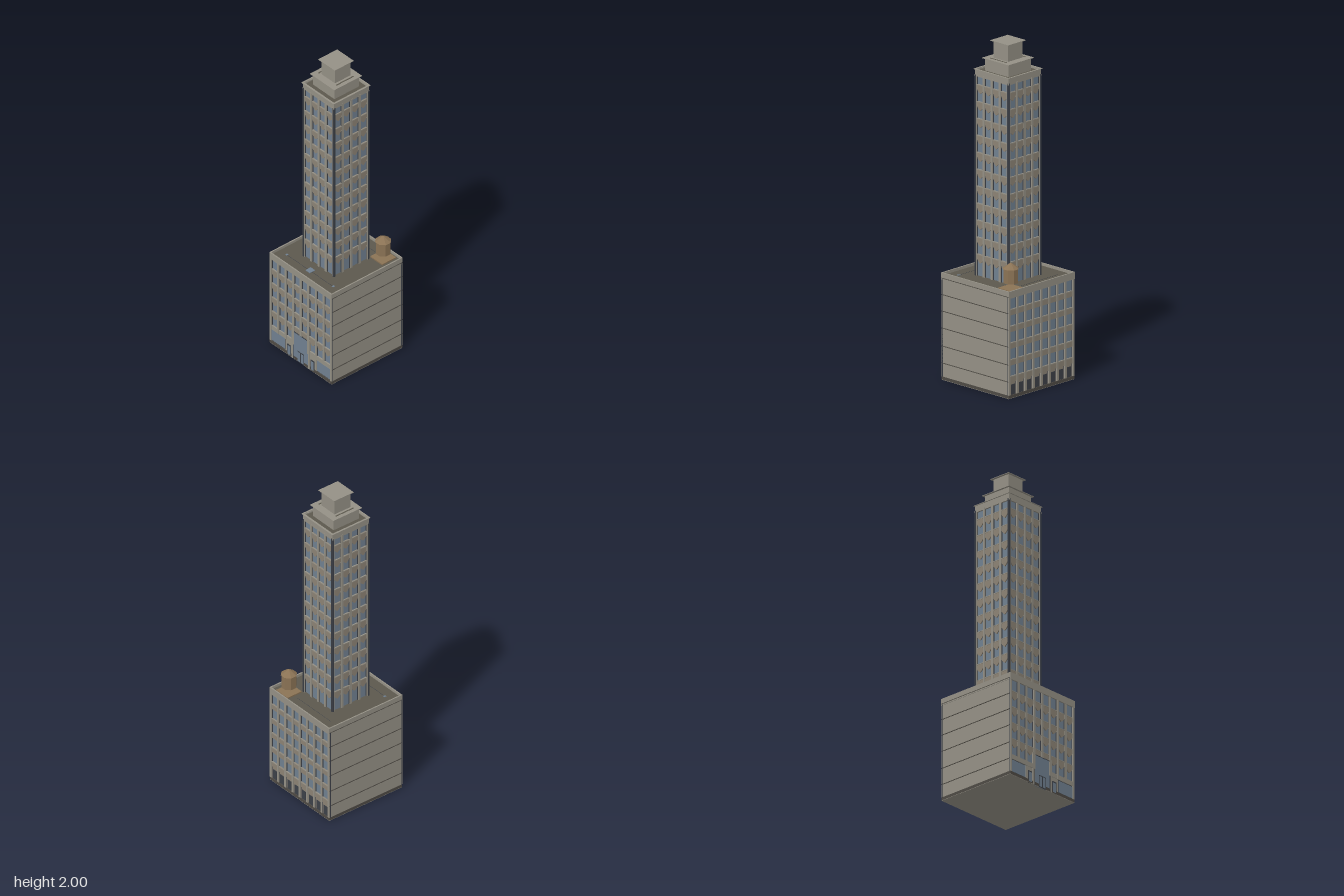
import * as THREE from 'three';

const mat = (name, color) => Object.assign(new THREE.MeshStandardMaterial({ color }), { name });
const M = {
  stone: mat('stone', 0x949085),
  trim: mat('spandrel stone', 0x8c8375),
  roof: mat('roof tar', 0x5c584d),
  dark: mat('dark metal', 0x3d4148),
  plinth: mat('plinth', 0x4e4a44),
  glass: mat('glass', 0x708090),
  wood: mat('tank wood', 0x8b7355),
};

function box(parent, name, m, w, h, d, x, y, z) {
  const b = new THREE.Mesh(new THREE.BoxGeometry(w, h, d), m);
  b.name = name;
  b.position.set(x, y, z);
  parent.add(b);
}

// box given by its bottom and top heights
const slab = (p, name, m, w, d, y0, y1, x = 0, z = 0) =>
  box(p, name, m, w, y1 - y0, d, x, (y0 + y1) / 2, z);

// four walls around a square
function ring(parent, name, m, half, t, y0, y1) {
  for (const s of [-1, 1]) {
    slab(parent, name, m, half * 2, t, y0, y1, 0, s * (half - t / 2));
    slab(parent, name, m, t, half * 2 - t * 2, y0, y1, s * (half - t / 2), 0);
  }
}

// spandrel panel whose lower edge sweeps down to a central point
function shieldGeometry(w, side, tip, depth) {
  const s = new THREE.Shape();
  s.moveTo(-w / 2, 0);
  s.lineTo(-w / 2, -side);
  s.quadraticCurveTo(-w * 0.3, -tip * 0.85, 0, -tip);
  s.quadraticCurveTo(w * 0.3, -tip * 0.85, w / 2, -side);
  s.lineTo(w / 2, 0);
  return new THREE.ExtrudeGeometry(s, { depth, bevelEnabled: false, curveSegments: 4 });
}

// bays of piers and spandrels standing out from a glass wall at z = 0
function facade({ name, bays, pitch, y1, tops, pointed, pierBase }) {
  const g = new THREE.Group();
  g.name = name;
  const x0 = -bays * pitch / 2;
  for (let i = 0; i <= bays; i++) {
    const y0 = pierBase(i), x = x0 + i * pitch;
    slab(g, 'pier', M.stone, 0.014, 0.01, y0, y1, x, 0.005);
    slab(g, 'pierReveal', M.dark, 0.019, 0.004, y0, y1, x, 0.002);
  }
  const shield = shieldGeometry(pitch - 0.014, 0.028, 0.055, 0.006);
  for (let i = 0; i < bays; i++) {
    const x = x0 + (i + 0.5) * pitch;
    for (const y of tops) {
      if (pointed) {
        const panel = new THREE.Mesh(shield, M.trim);
        panel.name = 'spandrel';
        panel.position.set(x, y, 0);
        g.add(panel);
      } else slab(g, 'spandrel', M.trim, pitch - 0.014, 0.006, y - 0.036, y, x, 0.003);
      slab(g, 'sill', M.stone, pitch - 0.014, 0.008, y - 0.005, y, x, 0.004);
    }
  }
  return g;
}

function makeBase() {
  const g = new THREE.Group();
  g.name = 'base';
  slab(g, 'glassCore', M.glass, 0.512, 0.51, 0.004, 0.6);
  slab(g, 'underside', M.stone, 0.53, 0.528, 0, 0.002);
  slab(g, 'plinth', M.plinth, 0.53, 0.528, 0.002, 0.02);
  slab(g, 'roofDeck', M.roof, 0.52, 0.52, 0.6, 0.616);
  ring(g, 'parapet', M.stone, 0.266, 0.008, 0.59, 0.632);

  // blank side walls with floor joints
  for (const s of [-1, 1]) {
    slab(g, 'sideWall', M.stone, 0.012, 0.524, 0.02, 0.6, s * 0.258);
    for (const y of [0.1, 0.2, 0.306, 0.406, 0.503, 0.6])
      slab(g, 'floorJoint', M.plinth, 0.003, 0.526, y - 0.002, y + 0.002, s * 0.265);
  }

  const tops = [0.525, 0.4265, 0.328, 0.2295];
  const front = facade({
    name: 'frontFacade', bays: 8, pitch: 0.0645, y1: 0.6, tops, pointed: true,
    pierBase: i => (i === 4 ? 0.19 : i === 0 || i === 8 ? 0.02 : 0.1),
  });
  front.position.z = 0.255;
  g.add(front);
  const back = facade({
    name: 'backFacade', bays: 8, pitch: 0.0645, y1: 0.6, tops: [...tops, 0.131],
    pointed: false, pierBase: () => 0.02,
  });
  back.rotation.y = Math.PI;
  back.position.z = -0.255;
  g.add(back);
  for (let i = 0; i < 8; i++) {
    const x = (i - 3.5) * 0.0645;
    slab(g, 'backDoorSurround', M.trim, 0.05, 0.004, 0.02, 0.1, x, -0.256);
    slab(g, 'backDoor', M.dark, 0.032, 0.004, 0.02, 0.08, x, -0.258);
  }

  // street front: shop windows, side doors and the tall entrance
  for (const s of [-1, 1]) {
    slab(g, 'shopBand', M.stone, 0.19, 0.009, 0.1, 0.128, s * 0.168, 0.2595);
    slab(g, 'shopFrame', M.dark, 0.126, 0.004, 0.02, 0.1, s * 0.197, 0.257);
    slab(g, 'shopWindow', M.glass, 0.118, 0.004, 0.024, 0.096, s * 0.197, 0.259);
    slab(g, 'shopPier', M.stone, 0.058, 0.006, 0.004, 0.1, s * 0.104, 0.258);
    slab(g, 'sideDoor', M.dark, 0.032, 0.003, 0, 0.075, s * 0.1, 0.2625);
    slab(g, 'sideDoorGlass', M.glass, 0.024, 0.002, 0.008, 0.067, s * 0.1, 0.264);
    slab(g, 'portalPost', M.stone, 0.012, 0.01, 0, 0.2, s * 0.072, 0.26);
    slab(g, 'portalReveal', M.dark, 0.004, 0.009, 0, 0.192, s * 0.064, 0.2597);
    slab(g, 'entranceDoor', M.dark, 0.026, 0.002, 0, 0.075, s * 0.0145, 0.2635);
    slab(g, 'entranceDoorGlass', M.glass, 0.02, 0.002, 0.006, 0.069, s * 0.0145, 0.2645);
  }
  slab(g, 'portalGlass', M.glass, 0.126, 0.008, 0, 0.19, 0, 0.259);
  slab(g, 'portalLintel', M.dark, 0.132, 0.009, 0.188, 0.192, 0, 0.2597);

  // flush fittings on the roof deck
  slab(g, 'skylight', M.glass, 0.037, 0.039, 0.616, 0.62, 0, 0.192);
  slab(g, 'roofPipe', M.dark, 0.39, 0.002, 0.616, 0.617, 0, 0.194);
  slab(g, 'rearRoofPipe', M.dark, 0.3, 0.0015, 0.616, 0.617, -0.05, -0.198);
  for (const s of [-1, 1]) slab(g, 'roofVent', M.glass, 0.013, 0.013, 0.616, 0.619, s * 0.198, 0.193);
  return g;
}

function makeTower() {
  const g = new THREE.Group();
  g.name = 'tower';
  slab(g, 'glassCore', M.glass, 0.246, 0.246, 0.61, 1.815);
  slab(g, 'towerRoof', M.roof, 0.25, 0.25, 1.815, 1.822);
  ring(g, 'towerCornice', M.stone, 0.132, 0.009, 1.79, 1.83);
  ring(g, 'towerCoping', M.stone, 0.138, 0.011, 1.83, 1.833);
  const tops = Array.from({ length: 11 }, (_, k) => 1.745 - 0.1 * k);
  for (let f = 0; f < 4; f++) {
    const side = new THREE.Group();
    side.name = 'towerSide';
    side.rotation.y = f * Math.PI / 2;
    const wall = facade({
      name: 'towerFacade', bays: 4, pitch: 0.0625, y1: 1.8, tops, pointed: true, pierBase: () => 0.61,
    });
    wall.position.z = 0.123;
    side.add(wall);
    slab(side, 'cornerStrip', M.dark, 0.006, 0.006, 0.61, 1.79, 0.1305, 0.1305);
    g.add(side);
  }
  // stepped crown with overhanging caps
  slab(g, 'lowerCrown', M.stone, 0.184, 0.184, 1.815, 1.894);
  slab(g, 'lowerCrownCap', M.stone, 0.208, 0.208, 1.894, 1.897);
  slab(g, 'upperCrown', M.stone, 0.115, 0.115, 1.897, 1.997);
  slab(g, 'upperCrownCap', M.stone, 0.142, 0.142, 1.997, 2);
  for (const s of [-1, 1]) slab(g, 'crownVent', M.roof, 0.008, 0.13, 1.897, 1.898, s * 0.076);
  return g;
}

function makeTank() {
  const g = new THREE.Group();
  g.name = 'waterTank';
  g.position.set(0.179, 0, -0.196);
  const round = (name, geometry, y) => {
    const m = new THREE.Mesh(geometry.toNonIndexed(), M.wood);
    m.geometry.computeVertexNormals();
    m.name = name;
    m.position.y = y;
    m.rotation.y = Math.PI / 8;
    g.add(m);
  };
  slab(g, 'tankPlatform', M.wood, 0.102, 0.102, 0.616, 0.624);
  round('tankBarrel', new THREE.CylinderGeometry(0.044, 0.044, 0.083, 8), 0.6965);
  round('tankRoof', new THREE.ConeGeometry(0.048, 0.034, 8), 0.755);
  return g;
}

export function createModel() {
  const model = new THREE.Group();
  model.name = 'officeTower';
  model.add(makeBase(), makeTower(), makeTank());
  return model;
}
